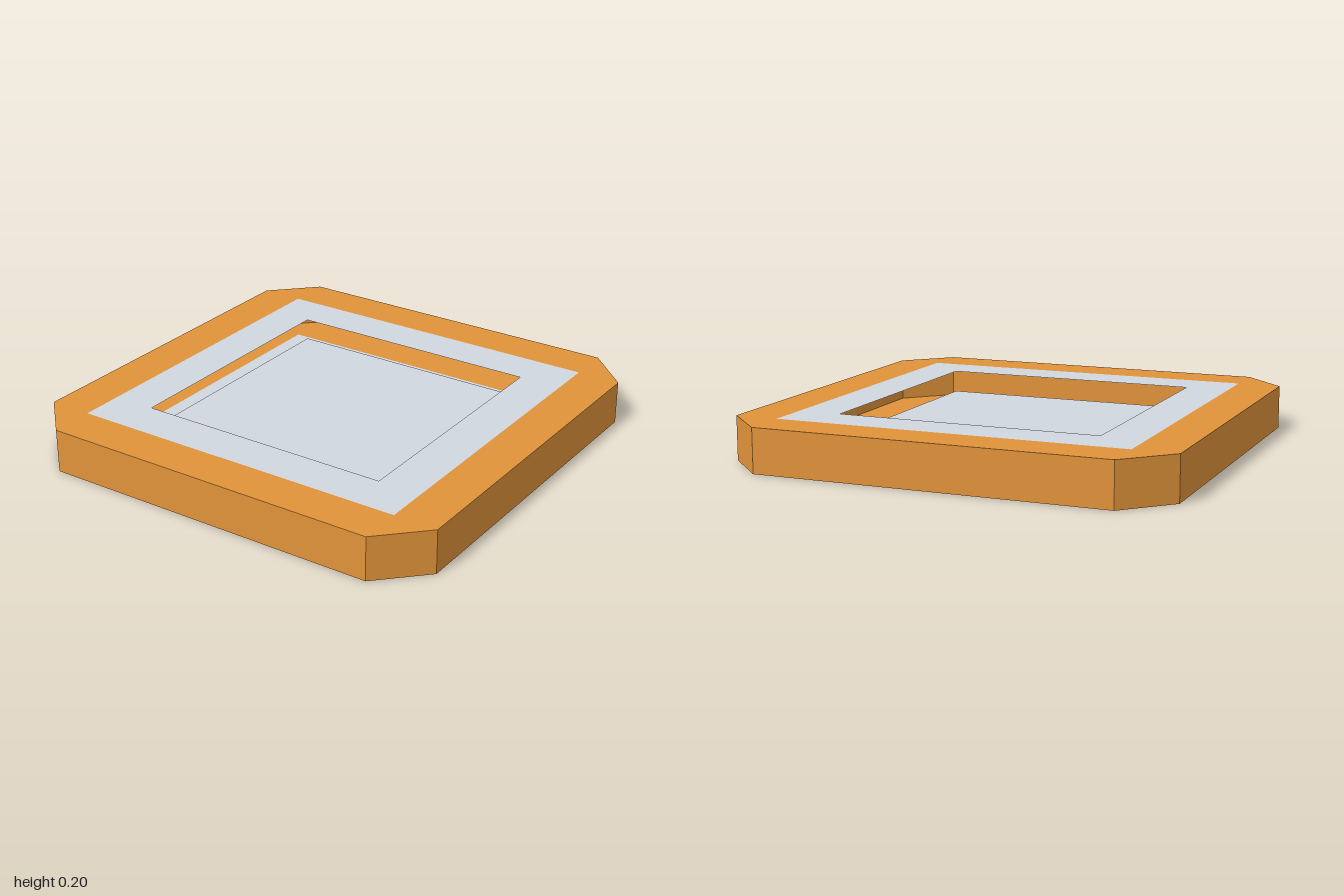
import * as THREE from 'three';

const HEIGHT = 0.2;

export function createModel() {
  const orange = new THREE.MeshStandardMaterial({ color: 0xe0933a, side: THREE.DoubleSide });
  orange.name = 'orange';
  const grey = new THREE.MeshStandardMaterial({ color: 0xd0d7e0, side: THREE.DoubleSide });
  grey.name = 'paleGrey';

  const octagon = [[0.8, 1], [1, 0.8], [1, -0.8], [0.8, -1], [-0.8, -1], [-1, -0.8], [-1, 0.8], [-0.8, 1]];
  const square = (h) => [[h, h], [h, -h], [-h, -h], [-h, h]];
  const points = (list) => list.map(([x, y]) => new THREE.Vector2(x, y));

  const model = new THREE.Group();
  model.name = 'hollowTile';

  // Flat horizontal sheet at height y, facing up or down, with an optional hole
  function sheet(name, outline, hole, y, up, material) {
    const shape = new THREE.Shape(points(outline));
    if (hole) shape.holes.push(new THREE.Path(points(hole)));
    const geometry = new THREE.ShapeGeometry(shape);
    geometry.rotateX(up ? -Math.PI / 2 : Math.PI / 2);
    geometry.translate(0, y, 0);
    const mesh = new THREE.Mesh(geometry, material);
    mesh.name = name;
    model.add(mesh);
  }

  // Top and bottom covers: orange border around a grey ring with a square opening
  for (const [side, y, up] of [['top', HEIGHT, true], ['bottom', 0, false]]) {
    sheet(side + 'Border', octagon, square(0.8), y, up, orange);
    sheet(side + 'Ring', square(0.8), square(0.6), y, up, grey);
  }

  // Panel floating halfway between the two openings
  sheet('middlePanel', square(0.6), null, HEIGHT / 2, true, grey);

  // Eight outer walls
  const walls = new THREE.Group();
  walls.name = 'outerWalls';
  octagon.forEach(([x0, z0], i) => {
    const [x1, z1] = octagon[(i + 1) % octagon.length];
    const dx = x1 - x0, dz = z1 - z0;
    const wall = new THREE.Mesh(new THREE.PlaneGeometry(Math.hypot(dx, dz), HEIGHT), orange);
    wall.name = 'wall' + (i + 1);
    wall.position.set((x0 + x1) / 2, HEIGHT / 2, (z0 + z1) / 2);
    wall.rotation.y = Math.atan2(x0 + x1, z0 + z1);
    walls.add(wall);
  });
  model.add(walls);

  return model;
}
